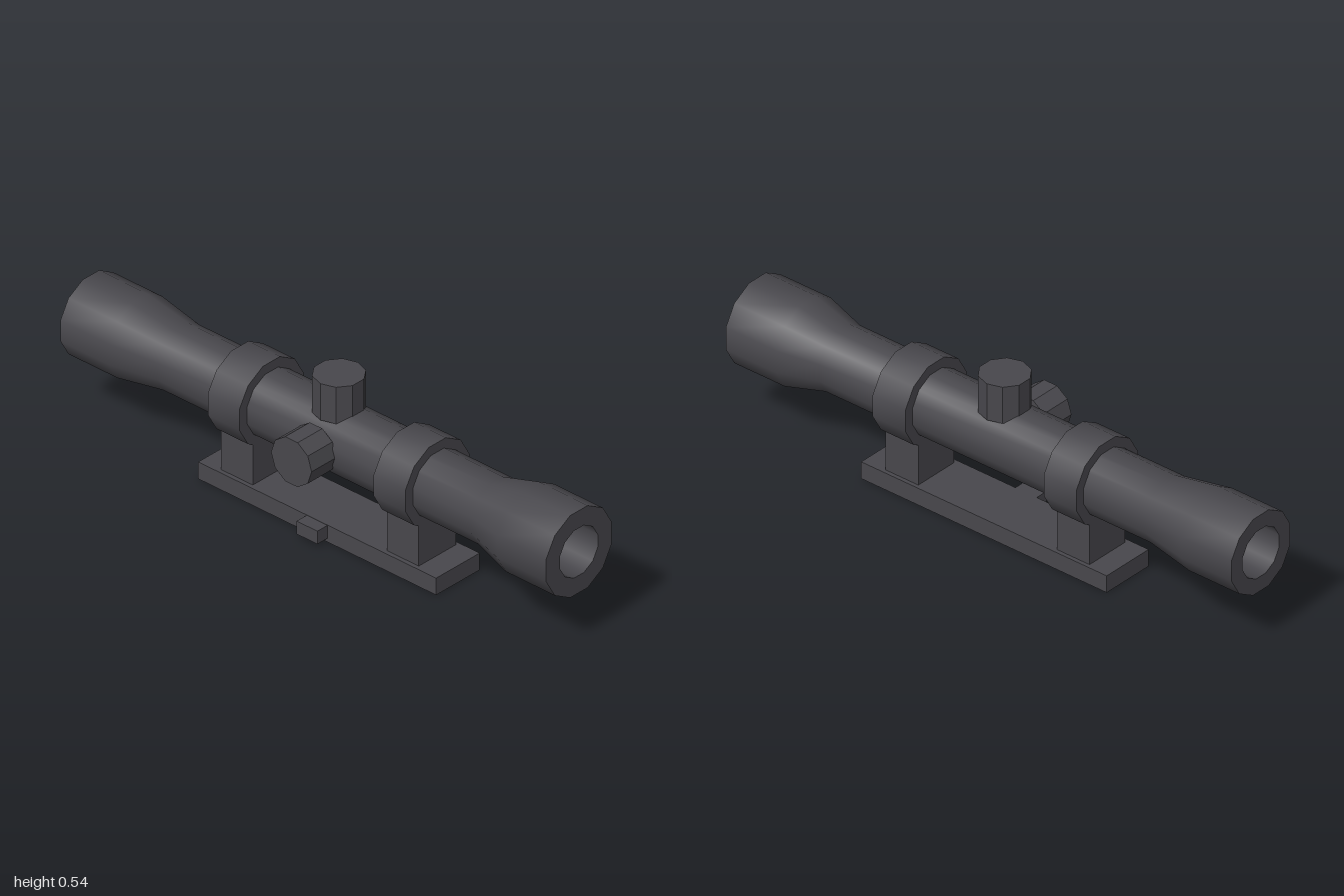
import * as THREE from 'three';
import { toCreasedNormals } from 'three/addons/utils/BufferGeometryUtils.js';

const AXIS_Y = 0.319, AXIS_Z = -0.033, MID_X = 0.017;

export function createModel() {
  const model = new THREE.Group();
  model.name = 'scope';
  const metal = new THREE.MeshStandardMaterial({ color: 0x48474c });
  metal.name = 'dark gunmetal';

  function add(name, geometry, x, y, z) {
    const mesh = new THREE.Mesh(geometry, metal);
    mesh.name = name;
    mesh.position.set(x, y, z);
    model.add(mesh);
    return mesh;
  }

  // Box given by its minimum and maximum corners
  function box(name, a, b) {
    const size = a.map((v, i) => b[i] - v);
    const mid = a.map((v, i) => (b[i] + v) / 2);
    return add(name, new THREE.BoxGeometry(...size), ...mid);
  }

  // Twelve-sided hollow body along x; the profile is [x, distance to the flats]
  function hollow(name, profile) {
    const toCorner = 1 / Math.cos(Math.PI / 12);
    const points = [...profile, profile[0]].map(([x, r]) => new THREE.Vector2(r * toCorner, x));
    const g = new THREE.LatheGeometry(points, 12, Math.PI / 12);
    g.rotateZ(-Math.PI / 2);
    return add(name, toCreasedNormals(g, 0.6), 0, AXIS_Y, AXIS_Z);
  }

  // Main tube with flared eyepiece and objective, bored right through
  hollow('opticTube', [
    [-1, 0.136], [-0.8, 0.136], [-0.63, 0.109], [0.66, 0.109],
    [0.8, 0.146], [1, 0.146], [1, 0.084], [-1, 0.084],
  ]);

  // Mounting rings with their posts
  for (const [side, x0, x1] of [['right', -0.39, -0.26], ['left', 0.29, 0.42]]) {
    hollow(side + 'Ring', [[x0, 0.142], [x1, 0.142], [x1, 0.1], [x0, 0.1]]);
    box(side + 'Post', [x0, 0.05, -0.115], [x1, 0.205, 0.05]);
  }

  // Ten-sided adjustment knobs on top and front
  const knob = (length) => toCreasedNormals(new THREE.CylinderGeometry(0.083, 0.083, length, 10), 0.4);
  add('topKnob', knob(0.13), MID_X, 0.473, AXIS_Z);
  const side = knob(0.11);
  side.rotateY(Math.PI / 2).rotateX(Math.PI / 2);
  add('frontKnob', side, MID_X, AXIS_Y, 0.124);

  // Base plate and its clamp lug
  box('basePlate', [-0.47, 0, -0.129], [0.505, 0.06, 0.065]);
  box('clampLug', [-0.025, 0.013, 0.06], [0.06, 0.059, 0.11]);

  return model;
}
